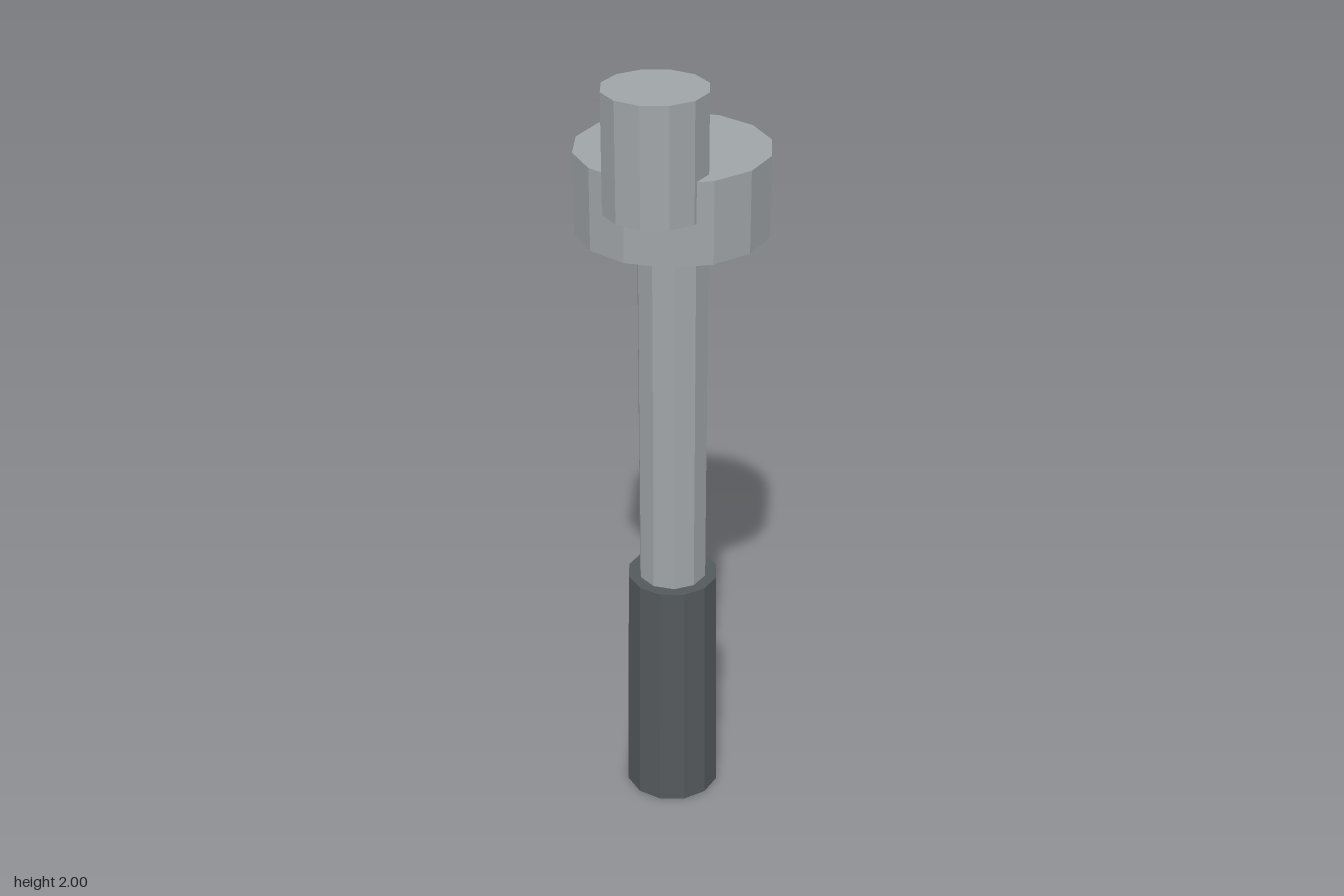
import * as THREE from 'three';

export function createModel() {
  const model = new THREE.Group();
  model.name = 'hammerTool';

  const steel = new THREE.MeshStandardMaterial({ color: 0xa0a5a8, flatShading: true });
  steel.name = 'steel grey';
  const rubber = new THREE.MeshStandardMaterial({ color: 0x54595c, flatShading: true });
  rubber.name = 'dark grip grey';

  // Upright faceted cylinder from y0 to y1, with a corner pointing along +x
  function post(name, material, sides, rBottom, rTop, y0, y1, z) {
    const geometry = new THREE.CylinderGeometry(rTop, rBottom, y1 - y0, sides);
    geometry.rotateY(Math.PI / 2);
    const mesh = new THREE.Mesh(geometry, material);
    mesh.name = name;
    mesh.position.set(0, (y0 + y1) / 2, z);
    model.add(mesh);
  }

  const axisZ = -0.0225;
  post('grip', rubber, 12, 0.124, 0.116, 0, 0.655, axisZ);
  post('shaft', steel, 10, 0.087, 0.087, 0.64, 1.605, axisZ);
  post('head', steel, 14, 0.2326, 0.2326, 1.612, 1.812, axisZ);
  // Peg set off to the front edge of the head
  post('drivePeg', steel, 12, 0.1235, 0.1235, 1.714, 2, 0.1235);

  return model;
}
